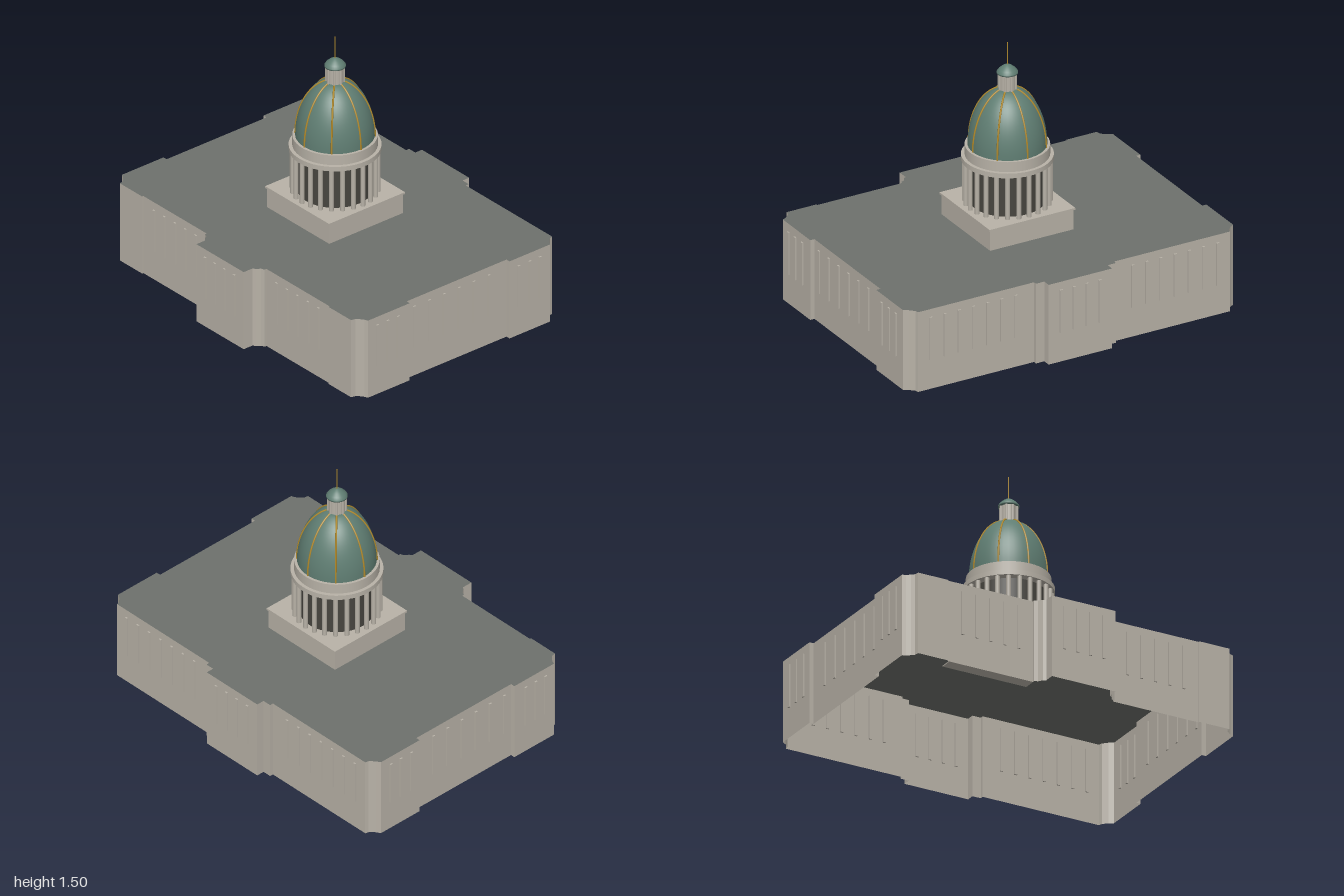
import * as THREE from 'three';

const material = (name, color, side = THREE.FrontSide) => {
  const m = new THREE.MeshStandardMaterial({ color, side });
  m.name = name;
  return m;
};

export function createModel() {
  const stone = material('stone', 0xb8b2a7);
  const wallStone = stone;
  wallStone.side = THREE.DoubleSide;
  const slate = material('slate roof', 0x6d706c, THREE.DoubleSide);
  const copper = material('green copper', 0x5f7d72);
  const gold = material('gold', 0xb08a2c);
  const shade = material('dark drum', 0x47453f);

  const model = new THREE.Group();
  model.name = 'domedBuilding';
  const add = (parent, name, geometry, mat, x = 0, y = 0, z = 0) => {
    const mesh = new THREE.Mesh(geometry, mat);
    mesh.name = name;
    mesh.position.set(x, y, z);
    parent.add(mesh);
    return mesh;
  };

  // Footprint: right half from front to back as [x, z], then mirrored
  const H = 0.46;
  const half = [
    [0.19, 0.76], [0.19, 0.7], [0.205, 0.69], [0.22, 0.668], [0.24, 0.66], [0.24, 0.648],
    [0.75, 0.648], [0.75, 0.656], [0.93, 0.656], [0.935, 0.63], [0.95, 0.615], [0.97, 0.6],
    [0.99, 0.592], [0.99, 0.31], [0.965, 0.31], [0.965, -0.365], [0.99, -0.365],
    [0.99, -0.64], [0.965, -0.655], [0.94, -0.68], [0.935, -0.7], [0.24, -0.7],
    [0.24, -0.72], [0.19, -0.72], [0.19, -0.765],
  ];
  const outline = [...half, ...half.map(([x, z]) => [-x, z]).reverse()];

  // Walls: an open shell with no floor
  const pos = [];
  outline.forEach(([ax, az], i) => {
    const [bx, bz] = outline[(i + 1) % outline.length];
    pos.push(ax, 0, az, bx, 0, bz, bx, H, bz, ax, 0, az, bx, H, bz, ax, H, az);
  });
  const walls = new THREE.BufferGeometry();
  walls.setAttribute('position', new THREE.Float32BufferAttribute(pos, 3));
  walls.computeVertexNormals();
  add(model, 'walls', walls, wallStone);

  // Flat roof
  const roof = new THREE.ShapeGeometry(
    new THREE.Shape(outline.map(([x, z]) => new THREE.Vector2(x, -z))));
  add(model, 'roof', roof.rotateX(-Math.PI / 2), slate, 0, H, 0);

  // Shallow pilasters on every facade
  const pilasters = new THREE.Group();
  pilasters.name = 'pilasters';
  model.add(pilasters);
  const strip = new THREE.BoxGeometry(0.016, 0.245, 0.016);
  const pilaster = (x, z) => add(pilasters, 'pilaster', strip, stone, x, 0.2925, z);
  for (const s of [-1, 1]) {
    for (let i = 0; i < 5; i++) pilaster(s * (0.325 + i * 0.084), 0.648);
    for (let i = 0; i < 7; i++) pilaster(s * (0.35 + i * 0.085), -0.7);
    for (const x of [0.039, 0.117]) {
      pilaster(s * x, 0.76);
      pilaster(s * x, -0.765);
    }
    for (const z of [0.53, 0.46, 0.39, -0.425, -0.5, -0.57]) pilaster(s * 0.99, z);
    for (let i = 0; i < 6; i++) pilaster(s * 0.965, 0.26 - i * 0.101);
  }

  // Tower, set slightly back from the centre
  const tower = new THREE.Group();
  tower.name = 'tower';
  tower.position.z = -0.018;
  model.add(tower);
  const cyl = (name, r, y0, y1, mat, sides = 48) =>
    add(tower, name, new THREE.CylinderGeometry(r, r, y1 - y0, sides), mat, 0, (y0 + y1) / 2);
  add(tower, 'plinth', new THREE.BoxGeometry(0.5, 0.12, 0.5), stone, 0, 0.515);
  add(tower, 'plinthSlab', new THREE.BoxGeometry(0.514, 0.011, 0.514), stone, 0, 0.579);

  // Colonnade around the drum
  const ringOf = (name, count, radius, r, y0, y1) => {
    const g = new THREE.CylinderGeometry(r, r, y1 - y0, 10);
    for (let i = 0; i < count; i++) {
      const a = (i / count) * Math.PI * 2;
      add(tower, name, g, stone, Math.sin(a) * radius, (y0 + y1) / 2, Math.cos(a) * radius);
    }
  };
  cyl('drum', 0.195, 0.58, 0.835, shade);
  ringOf('column', 24, 0.223, 0.013, 0.58, 0.835);
  cyl('cornice', 0.241, 0.828, 0.855, stone);
  cyl('attic', 0.222, 0.85, 0.912, stone);

  // Dome and its eight ribs follow one elliptical profile
  const arc = (t, out) => new THREE.Vector2((0.207 + out) * Math.cos(t), 0.91 + (0.33 + out) * Math.sin(t));
  const profile = Array.from({ length: 17 }, (_, i) => arc((i / 16) * 1.33, 0));
  add(tower, 'dome', new THREE.LatheGeometry([...profile, new THREE.Vector2(0, 1.231)], 48), copper);
  const ribCurve = new THREE.CatmullRomCurve3(Array.from({ length: 10 }, (_, i) => {
    const p = arc((i / 9) * 1.32, 0.001);
    return new THREE.Vector3(p.x, p.y, 0);
  }));
  const rib = new THREE.TubeGeometry(ribCurve, 24, 0.005, 6);
  for (let i = 0; i < 8; i++) add(tower, 'domeRib', rib, gold).rotation.y = (i * Math.PI) / 4;

  // Lantern, cap and spire
  cyl('lantern', 0.044, 1.22, 1.325, stone, 24);
  ringOf('lanternColumn', 8, 0.045, 0.007, 1.22, 1.325);
  const cap = [[0, 1.32], [0.056, 1.32], [0.056, 1.328], [0.046, 1.342], [0.03, 1.356], [0.013, 1.367], [0, 1.37]];
  add(tower, 'lanternCap', new THREE.LatheGeometry(cap.map(([x, y]) => new THREE.Vector2(x, y)), 32), copper);
  cyl('spire', 0.003, 1.36, 1.495, gold, 8);

  return model;
}
